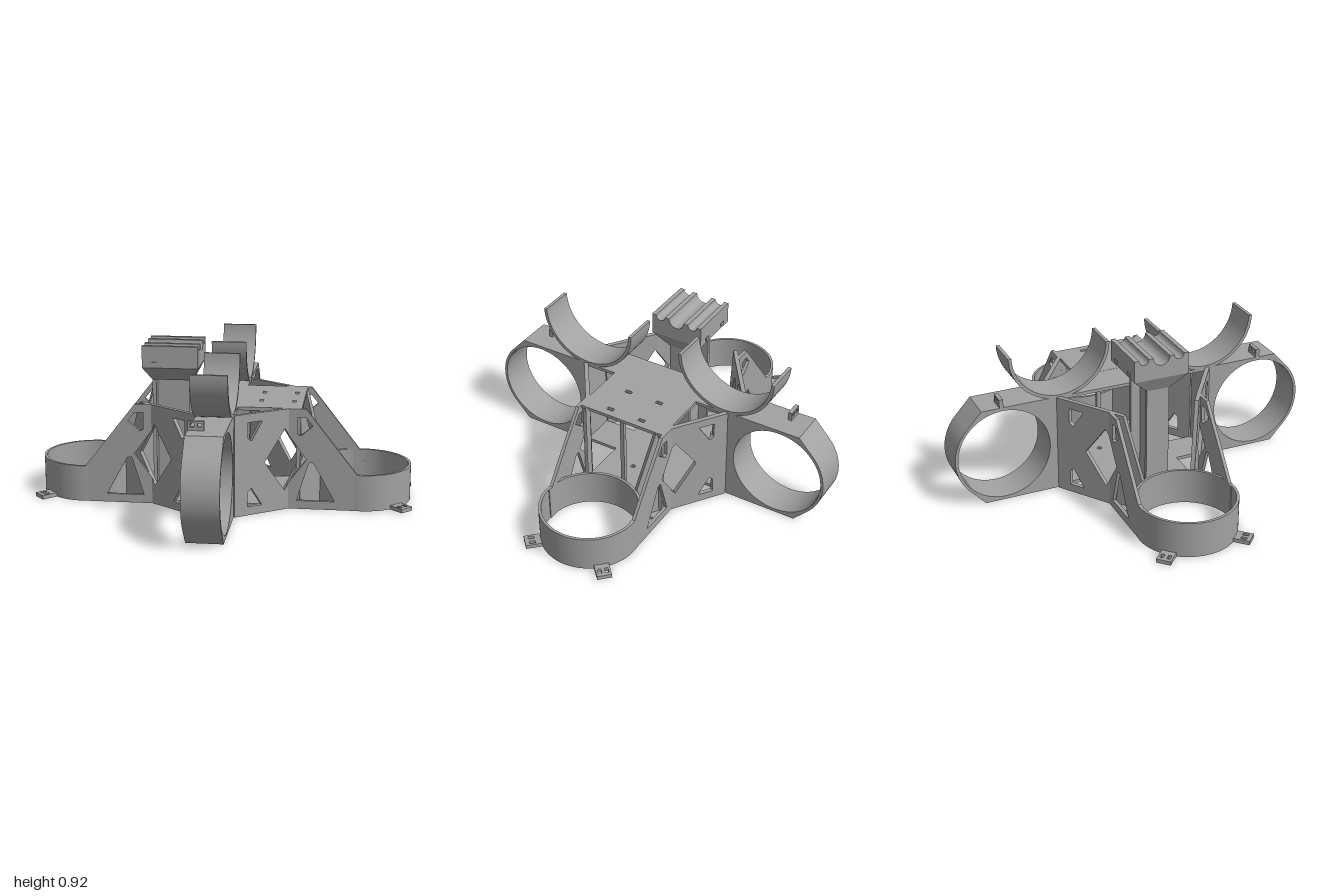
import * as THREE from 'three';
import { toCreasedNormals } from 'three/addons/utils/BufferGeometryUtils.js';

const gray = new THREE.MeshStandardMaterial({ color: 0xa2a2a2 });
gray.name = 'plain gray';

const poly = (pts) => new THREE.Shape(pts.map(([x, y]) => new THREE.Vector2(x, y)));
const rect = (x, y, w, h) =>
  poly([[x - w / 2, y - h / 2], [x + w / 2, y - h / 2], [x + w / 2, y + h / 2], [x - w / 2, y + h / 2]]);
const disc = (x, y, r) => {
  const s = new THREE.Shape();
  s.absarc(x, y, r, 0, Math.PI * 2, false);
  return s;
};

function extrude(shape, holes, depth) {
  shape.holes.push(...holes);
  const g = new THREE.ExtrudeGeometry(shape, { depth, bevelEnabled: false, curveSegments: 40 });
  return toCreasedNormals(g, 0.5);
}

export function createModel() {
  const model = new THREE.Group();
  model.name = 'ductedFrame';
  const frame = new THREE.Group();
  frame.name = 'frame';
  frame.rotation.y = 0.72;
  model.add(frame);

  const add = (name, geometry, x = 0, y = 0, z = 0, ry = 0) => {
    const m = new THREE.Mesh(geometry, gray);
    m.name = name;
    m.position.set(x, y, z);
    m.rotation.y = ry;
    frame.add(m);
    return m;
  };
  // upright plate: shape x runs from point a towards point b, shape y is up
  const wall = (name, shape, holes, t, [ax, az], [bx, bz]) =>
    add(name, extrude(shape, holes, t).translate(0, 0, -t / 2), ax, 0, az, Math.atan2(az - bz, bx - ax));
  // level plate: shape x, y become x, z
  const slab = (name, shape, holes, y, t) =>
    add(name, extrude(shape, holes, t).rotateX(Math.PI / 2), 0, y + t, 0);
  const box = (name, w, h, d, x, y, z) => add(name, new THREE.BoxGeometry(w, h, d), x, y, z);

  // base plate with cable and screw holes
  const small = [];
  for (const u of [-0.45, -0.15, 0.2, 0.42])
    for (const v of [-0.1, 0.1]) small.push(disc(u, v, 0.014));
  slab('basePlate', rect(0, 0, 1.08, 0.57),
    [disc(-0.345, -0.178, 0.035), disc(-0.345, 0.178, 0.035), ...small], 0, 0.02);

  // level rings with their screw tabs
  for (const s of [-1, 1]) {
    slab('levelRing', disc(s * 0.818, 0, 0.293), [disc(s * 0.818, 0, 0.277)], 0, 0.215);
    for (const k of [-1, 1]) {
      const tab = extrude(rect(0.337, 0, 0.096, 0.085),
        [rect(0.345, -0.02, 0.035, 0.02), rect(0.345, 0.02, 0.035, 0.02)], 0.024).rotateX(Math.PI / 2);
      const dir = Math.atan2(-k, s);
      add('ringTab', tab, s * 0.818, 0.024, 0, dir);
    }
  }

  // upright rings, tabs and cradles on the other axis
  for (const s of [-1, 1]) {
    const hull = new THREE.Shape();
    hull.moveTo(0.487, 0);
    hull.lineTo(0.946, 0);
    hull.absarc(0.818, 0.3, 0.297, -0.742, 0.742, false);
    hull.lineTo(0.946, 0.6);
    hull.lineTo(0.487, 0.6);
    hull.closePath();
    wall('uprightRing', hull, [disc(0.818, 0.3, 0.28)], 0.21, [0, 0], [0, s]);

    const arc = new THREE.Shape();
    arc.absarc(0.466, 0.9, 0.308, Math.PI + 0.03, Math.PI * 2 - 0.03, false);
    arc.absarc(0.466, 0.9, 0.288, Math.PI * 2 - 0.03, Math.PI + 0.03, true);
    arc.closePath();
    wall('cradle', arc, [], 0.21, [0, 0], [0, s]);

    wall('topTab', rect(0, 0.625, 0.09, 0.054),
      [rect(-0.02, 0.63, 0.022, 0.022), rect(0.02, 0.63, 0.022, 0.022)],
      0.024, [-0.06, s * 0.826], [1, s * 0.826]);
    box('beamFloor', 0.21, 0.02, 0.21, 0, 0.01, s * 0.387);
  }
  box('beamTop', 0.21, 0.02, 0.98, 0, 0.589, 0);

  // pierced side walls in all four quadrants
  for (const s of [-1, 1]) for (const k of [-1, 1]) {
    const p = (u, v) => [s * u, k * v];
    wall('sideWall',
      poly([[0, 0], [0.44, 0], [0.44, 0.215], [0.41, 0.215], [0.11, 0.6], [0, 0.6],
        [0, 0.457], [0.115, 0.3], [0, 0.143]]),
      [poly([[0.06, 0.05], [0.28, 0.05], [0.26, 0.09], [0.155, 0.28], [0.13, 0.28]]),
        poly([[0.06, 0.55], [0.11, 0.55], [0.15, 0.5], [0.08, 0.44], [0.06, 0.45]])],
      0.02, p(0.39, 0.281), p(1, 0.281));
    wall('diagonalWall',
      poly([[0, 0], [0.35, 0], [0.35, 0.6], [0, 0.6], [0, 0.457], [0.02, 0.485],
        [0.155, 0.3], [0.02, 0.115], [0, 0.143]]),
      [poly([[0.17, 0.55], [0.265, 0.55], [0.265, 0.46], [0.24, 0.44]]),
        poly([[0.17, 0.05], [0.265, 0.05], [0.265, 0.14], [0.24, 0.16]])],
      0.026, p(0.39, 0.283), p(0.105, 0.483));
    wall('innerStrut', poly([[0, 0], [0.225, 0], [0.225, 0.215], [0.1, 0.6], [0, 0.6],
      [0, 0.457], [0.1, 0.3], [0, 0.143]]), [], 0.026, p(0.39, 0.283), p(0.578, 0.155));
  }

  // slotted deck and its ribs
  const slots = [];
  for (const u of [0.226, 0.42]) for (const v of [-0.105, 0.105]) slots.push(rect(u, v, 0.022, 0.042));
  slab('deck', rect(0.29, 0, 0.37, 0.56), slots, 0.58, 0.02);
  for (const v of [-0.255, 0, 0.255]) box('deckRib', 0.025, 0.57, 0.025, 0.455, 0.3, v);

  // tower: flanged stem, flared neck and grooved tray
  const cx = -0.309;
  box('stemWeb', 0.23, 0.69, 0.022, cx, 0.36, 0);
  for (const s of [-1, 1]) box('stemFlange', 0.022, 0.69, 0.14, cx + s * 0.11, 0.36, 0);
  const neck = new THREE.BoxGeometry(0.332, 0.09, 0.332);
  const pos = neck.attributes.position;
  for (let i = 0; i < pos.count; i++)
    if (pos.getY(i) < 0) {
      pos.setX(i, pos.getX(i) * 0.73);
      pos.setZ(i, pos.getZ(i) * 0.43);
    }
  neck.computeVertexNormals();
  add('trayNeck', neck, cx, 0.745, 0);

  const tray = new THREE.Shape();
  tray.moveTo(-0.166, 0.79);
  tray.lineTo(0.166, 0.79);
  tray.lineTo(0.166, 0.92);
  for (const [v, r] of [[0.108, 0.03], [0, 0.05], [-0.108, 0.03]]) {
    tray.lineTo(v + r, 0.92);
    tray.absarc(v, 0.92, r, 0, Math.PI, true);
  }
  tray.lineTo(-0.166, 0.92);
  tray.closePath();
  wall('tray', tray, [], 0.332, [cx, 0], [cx, 1]);
  for (const s of [-1, 1]) for (const k of [-1, 1])
    box('trayLug', 0.035, 0.02, 0.008, cx + s * 0.09, 0.815, k * 0.167);

  return model;
}
